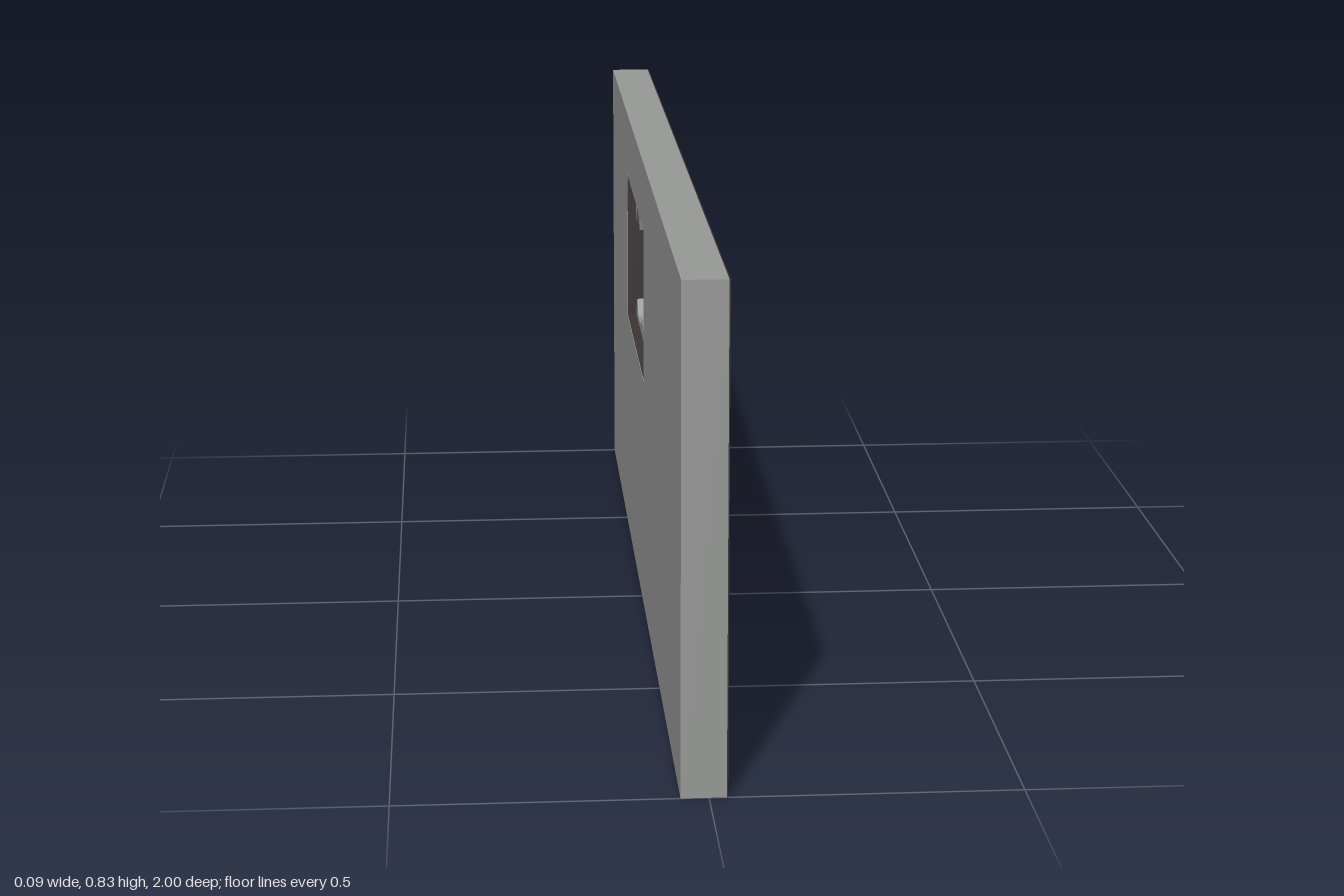
import * as THREE from 'three';

const paint = (name, color) => {
  const m = new THREE.MeshStandardMaterial({ color });
  m.name = name;
  return m;
};

// Rectangle corners in the (z, y) plane
const rect = (z0, z1, y0, y1) => [[z0, y0], [z1, y0], [z1, y1], [z0, y1]];
const inset = ([z0, z1, y0, y1], d) => [z0 + d, z1 - d, y0 + d, y1 - d];
const vectors = (pts) => pts.map(([z, y]) => new THREE.Vector2(z, y));

// Extrudes a (z, y) outline from x0 to x1, with an optional hole
function slab(name, outline, hole, x0, x1, material) {
  const shape = new THREE.Shape(vectors(outline));
  if (hole) shape.holes.push(new THREE.Path(vectors(hole)));
  const geo = new THREE.ExtrudeGeometry(shape, { depth: x1 - x0, bevelEnabled: false });
  geo.rotateY(-Math.PI / 2);
  geo.translate(x1, 0, 0);
  const mesh = new THREE.Mesh(geo, material);
  mesh.name = name;
  return mesh;
}

export function createModel() {
  const model = new THREE.Group();
  model.name = 'wallWithBrokenWindow';

  const plaster = paint('grey plaster', 0x989a98);
  const brown = paint('dark brown', 0x3c3534);
  const frameGrey = paint('frame grey', 0x666866);
  const glass = paint('glass grey', 0x98999a);

  const wall = [-1, 1, 0, 0.833];
  const outer = [-0.479, 0.061, 0.42, 0.72];
  const opening = inset(outer, 0.008);
  const clear = inset(outer, 0.014);

  // Wall and its painted face
  model.add(slab('wall', rect(...wall), rect(...opening), -0.045, 0.028, plaster));
  model.add(slab('paintedFace', rect(...wall), rect(...opening), 0.028, 0.03, brown));

  // Window surround: lining, recessed sash and raised trim
  const windowFrame = new THREE.Group();
  windowFrame.name = 'windowFrame';
  windowFrame.add(
    slab('lining', rect(...opening), rect(...inset(outer, 0.010)), -0.044, 0, brown),
    slab('sash', rect(...opening), rect(...clear), 0, 0.034, frameGrey),
    slab('trim', rect(...outer), rect(...inset(outer, 0.010)), 0.03, 0.042, frameGrey)
  );

  // Remains of the snapped middle bar
  windowFrame.add(
    slab('upperBar', rect(-0.205, -0.195, 0.59, 0.708), null, 0, 0.014, frameGrey),
    slab('lowerBar', rect(-0.205, -0.195, 0.432, 0.485), null, 0, 0.014, frameGrey)
  );
  model.add(windowFrame);

  // Jagged glass left in the frame, as (z, y) outlines
  const shards = [
    [[0.052, 0.708], [0.052, 0.674], [-0.008, 0.674], [-0.072, 0.7], [-0.072, 0.708]],
    [[-0.072, 0.708], [-0.1, 0.61], [-0.118, 0.708]],
    [[-0.108, 0.708], [-0.115, 0.674], [-0.131, 0.62], [-0.158, 0.69], [-0.158, 0.708]],
    [[-0.15, 0.708], [-0.158, 0.69], [-0.195, 0.63], [-0.195, 0.708]],
    [[-0.323, 0.708], [-0.348, 0.625], [-0.404, 0.668], [-0.464, 0.62], [-0.464, 0.708]],
    [[0.052, 0.432], [0.052, 0.487], [0.024, 0.513], [-0.003, 0.455], [-0.003, 0.432]],
    [[0.002, 0.432], [-0.003, 0.455], [-0.035, 0.492], [-0.072, 0.44], [-0.072, 0.432]],
    [[-0.067, 0.432], [-0.099, 0.465], [-0.131, 0.444], [-0.131, 0.432]],
    [[-0.125, 0.432], [-0.131, 0.444], [-0.184, 0.487], [-0.195, 0.432]],
    [[-0.205, 0.432], [-0.205, 0.44], [-0.275, 0.47], [-0.323, 0.444], [-0.323, 0.432]],
    [[-0.323, 0.432], [-0.323, 0.444], [-0.393, 0.444], [-0.43, 0.47], [-0.464, 0.438], [-0.464, 0.432]],
  ];
  const glassGroup = new THREE.Group();
  glassGroup.name = 'brokenGlass';
  shards.forEach((pts) => glassGroup.add(slab('glassShard', pts, null, -0.028, 0.01, glass)));
  model.add(glassGroup);

  return model;
}
